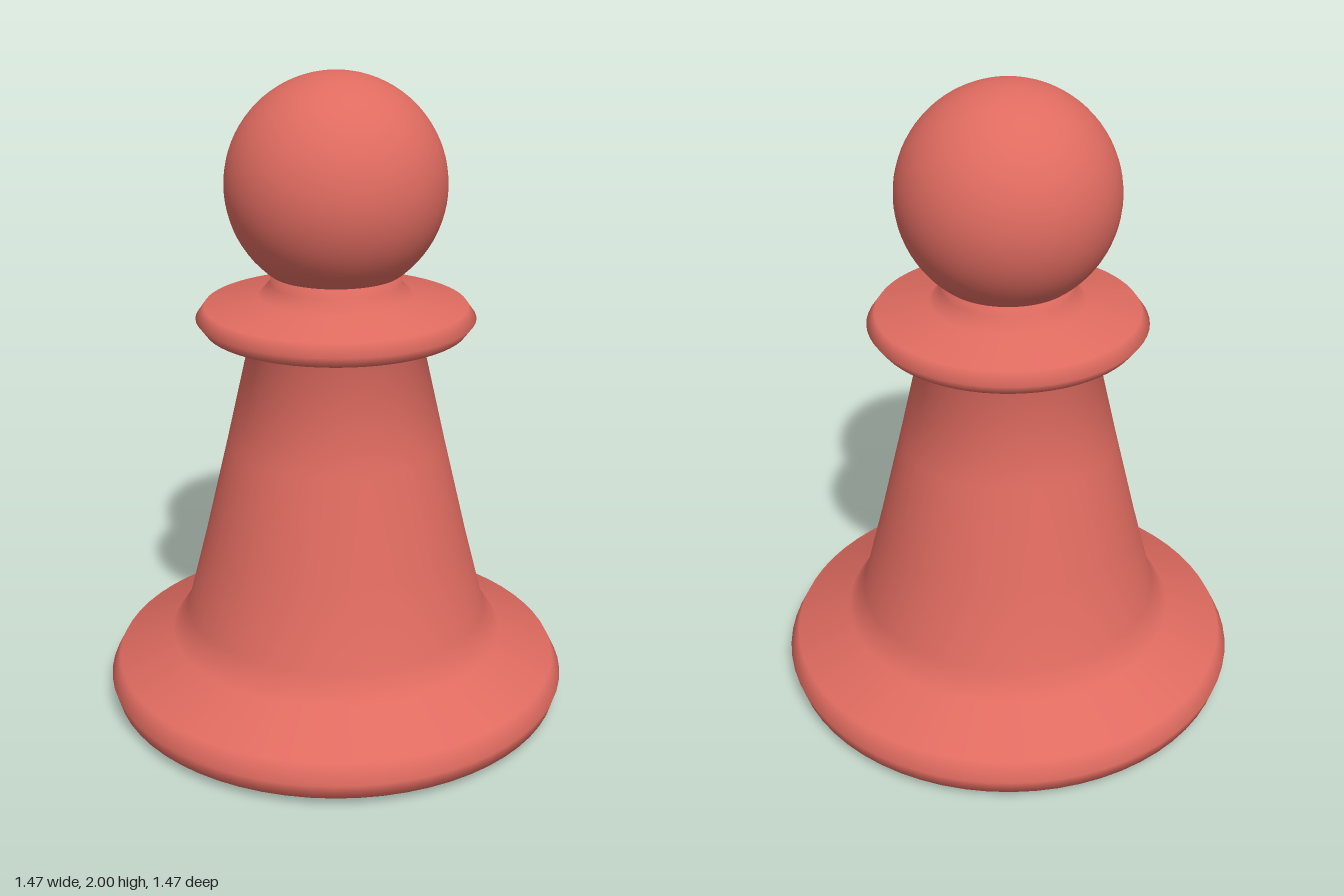
import * as THREE from 'three';

export function createModel() {
  const group = new THREE.Group();
  const coral = new THREE.MeshStandardMaterial({ color: 0xdf6b60 });
  coral.name = 'coral';

  const add = (name, geometry) => {
    const mesh = new THREE.Mesh(geometry, coral);
    mesh.name = name;
    group.add(mesh);
    return mesh;
  };

  // Turned base, tapering stem, collar and neck in one smooth profile
  const profile = [
    [0, 0], [0.62, 0], [0.675, 0.005], [0.722, 0.03], [0.737, 0.08], [0.708, 0.138],
    [0.534, 0.217], [0.48, 0.297], [0.415, 0.55], [0.34, 0.865], [0.267, 1.185],
    [0.402, 1.23], [0.428, 1.265], [0.402, 1.302],
    [0.237, 1.332], [0.2, 1.37], [0.2, 1.41], [0.16, 1.43],
  ].map(([r, y]) => new THREE.Vector2(r, y));
  add('turnedBody', new THREE.LatheGeometry(profile, 64));

  // Ball head
  add('head', new THREE.SphereGeometry(0.333, 64, 40)).position.y = 1.667;

  return group;
}
